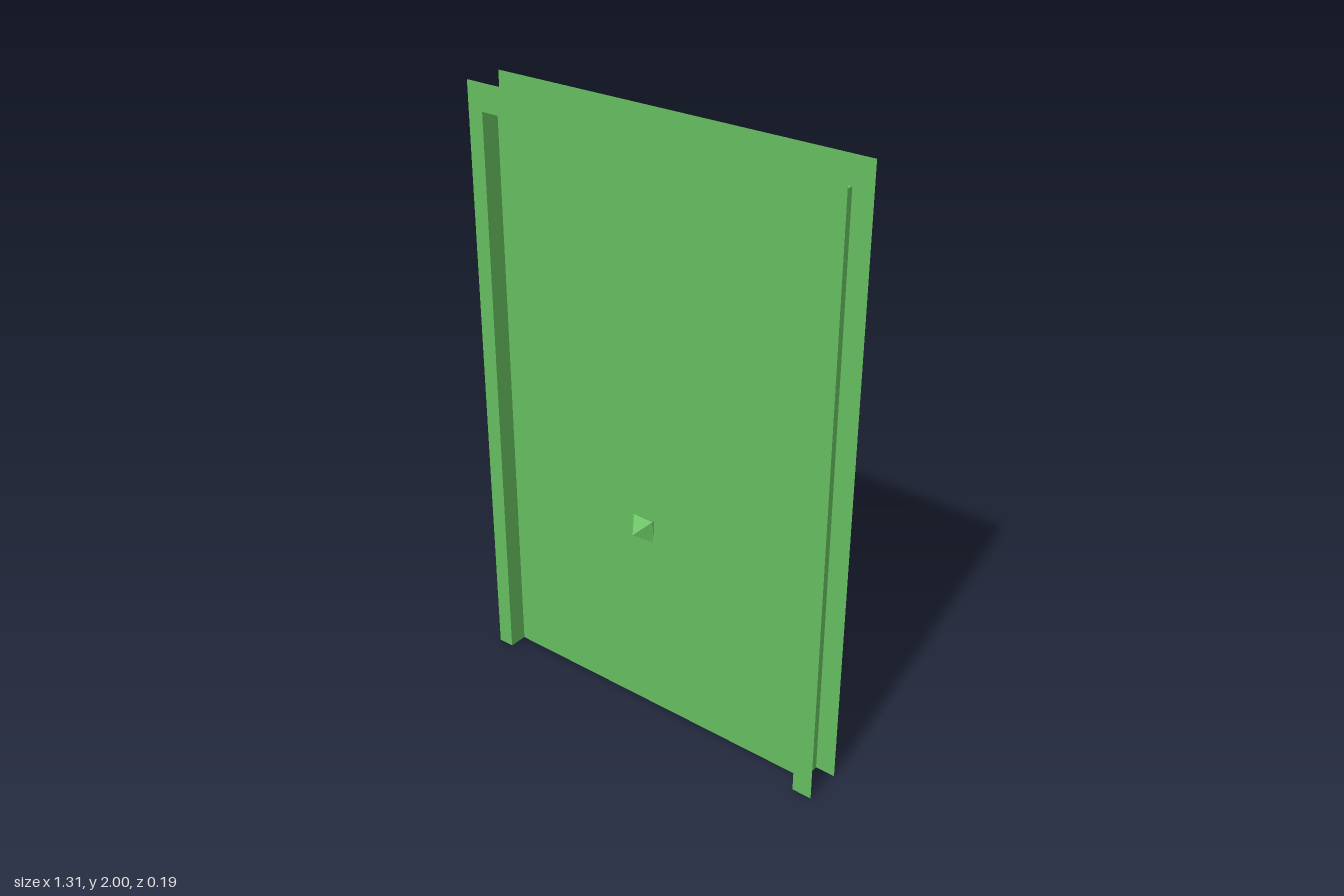
import * as THREE from 'three';

const LEFT = 0.588, RIGHT = -0.6, HEAD = 1.913; // opening
const FRONT = 0.079, BACK = -0.052; // wall faces

export function createModel() {
  const group = new THREE.Group();
  const green = new THREE.MeshStandardMaterial({
    color: 0x66bf60, flatShading: true, side: THREE.DoubleSide,
  });
  const add = (name, geometry, x, y, z) => {
    const mesh = new THREE.Mesh(geometry, green);
    mesh.name = name;
    mesh.position.set(x, y, z);
    group.add(mesh);
    return mesh;
  };
  const width = LEFT - RIGHT, midX = (LEFT + RIGHT) / 2;
  const depth = FRONT - BACK, midZ = (FRONT + BACK) / 2;

  // Flat trim around the opening on both wall faces
  const trim = new THREE.Shape([
    [-0.655, 0], [RIGHT, 0], [RIGHT, HEAD], [LEFT, HEAD],
    [LEFT, 0], [0.655, 0], [0.655, 2], [-0.655, 2],
  ].map(([x, y]) => new THREE.Vector2(x, y)));
  add('frontTrim', new THREE.ShapeGeometry(trim), 0, 0, FRONT);
  add('backTrim', new THREE.ShapeGeometry(trim), 0, 0, BACK);

  // Thin lining joining the two trims
  for (const [name, x] of [['leftJamb', LEFT], ['rightJamb', RIGHT]]) {
    add(name, new THREE.PlaneGeometry(depth, HEAD), x, HEAD / 2, midZ)
      .rotation.y = Math.PI / 2;
  }
  add('headJamb', new THREE.PlaneGeometry(width, depth), midX, HEAD, midZ)
    .rotation.x = -Math.PI / 2;

  // Door leaf, set back inside the lining
  const leafFront = 0.016, leafBack = -0.025;
  add('doorLeaf', new THREE.BoxGeometry(width, HEAD, leafFront - leafBack),
    midX, HEAD / 2, (leafFront + leafBack) / 2);

  // Faceted knobs, half sunk into the leaf on each side
  for (const [name, side] of [['frontKnob', 1], ['backKnob', -1]]) {
    add(name, new THREE.OctahedronGeometry(0.053), -0.03, 0.69, side * 0.044)
      .rotation.z = Math.PI / 4;
  }
  return group;
}
